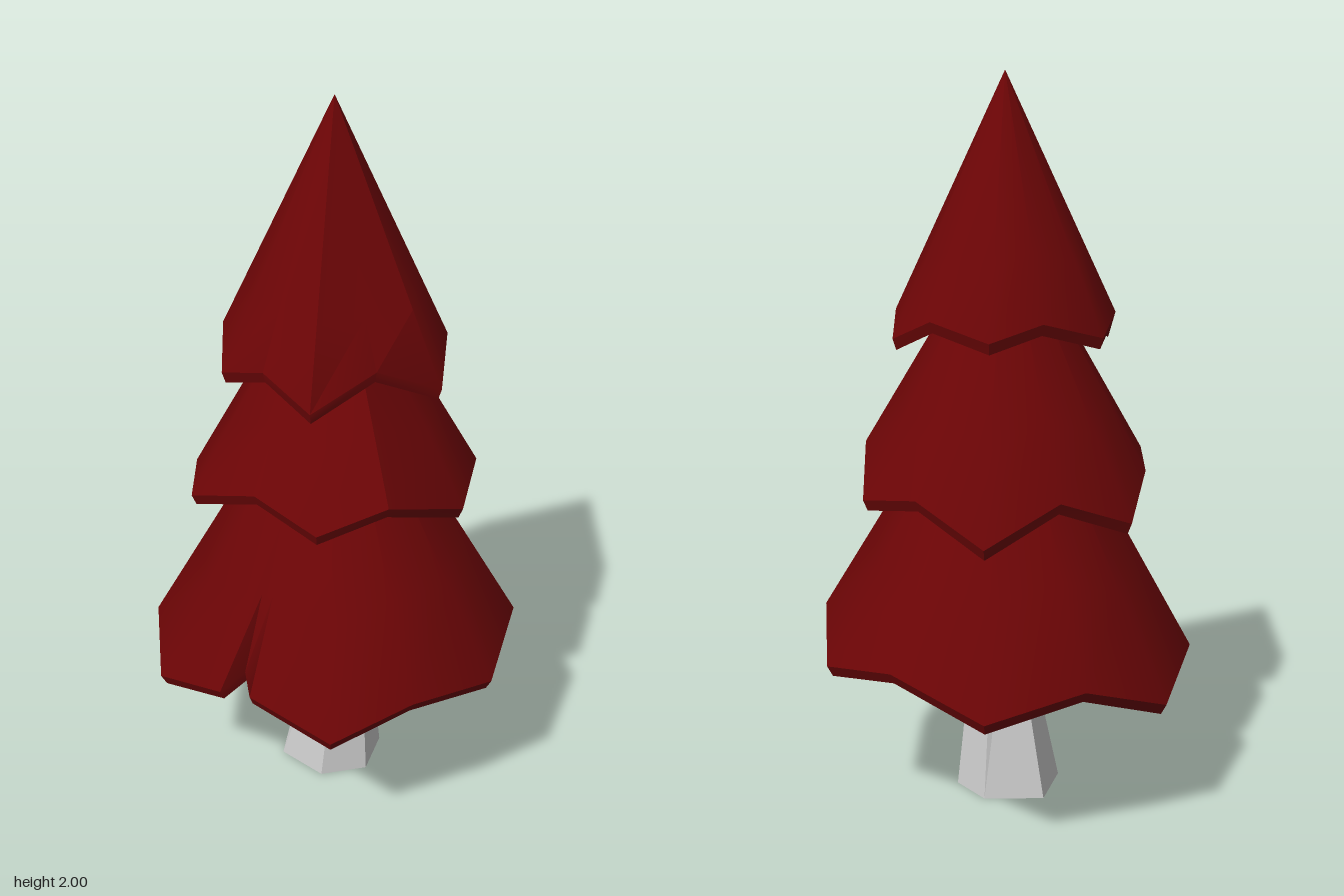
import * as THREE from 'three';
import { toCreasedNormals } from 'three/addons/utils/BufferGeometryUtils.js';

// Joins rings of [x, y, z] points (clockwise seen from above), skipping collapsed triangles.
function loft(rings) {
  const pos = [];
  const same = (p, q) => p.every((v, k) => v === q[k]);
  const tri = (a, b, c) => {
    if (!same(a, b) && !same(b, c) && !same(a, c)) pos.push(...a, ...b, ...c);
  };
  for (let r = 0; r < rings.length - 1; r++) {
    const a = rings[r], b = rings[r + 1];
    for (let i = 0; i < a.length; i++) {
      const j = (i + 1) % a.length;
      tri(a[i], a[j], b[j]);
      tri(a[i], b[j], b[i]);
    }
  }
  const g = new THREE.BufferGeometry();
  g.setAttribute('position', new THREE.Float32BufferAttribute(pos, 3));
  g.computeVertexNormals();
  return g;
}

// Jagged hem of each tier: [x, z, y of the lower edge]; notch is the index of a hem point
// that is tucked inward below an otherwise even slope
const tiers = [
  { name: 'lowerBranches', apex: 1.37, ceiling: 0.55, notch: 8, hem: [
    [-0.08, -0.51, 0.385], [0.18, -0.47, 0.48], [0.41, -0.32, 0.415], [0.505, -0.07, 0.495],
    [0.487, 0.195, 0.43], [0.31, 0.40, 0.475], [0.114, 0.51, 0.39], [-0.12, 0.455, 0.46],
    [-0.158, 0.367, 0.47], [-0.217, 0.41, 0.425], [-0.43, 0.29, 0.35], [-0.51, 0.07, 0.42],
    [-0.49, -0.19, 0.35], [-0.315, -0.39, 0.45]] },
  { name: 'middleBranches', apex: 1.65, ceiling: 1.1, hem: [
    [-0.05, -0.40, 0.81], [0.145, -0.35, 0.91], [0.32, -0.255, 0.87], [0.38, -0.055, 0.975],
    [0.38, 0.144, 0.935], [0.22, 0.325, 1.02], [0.05, 0.397, 0.955], [-0.13, 0.33, 1.01],
    [-0.33, 0.24, 0.93], [-0.38, 0.04, 0.92], [-0.38, -0.15, 0.83], [-0.22, -0.28, 0.91]] },
  { name: 'topBranches', apex: 2, ceiling: 1.45, notch: 5, hem: [
    [-0.04, -0.31, 1.32], [0.125, -0.27, 1.36], [0.25, -0.195, 1.295], [0.29, -0.045, 1.345],
    [0.307, 0.11, 1.26], [0.157, 0.20, 1.335], [0.016, 0.32, 1.26], [-0.12, 0.26, 1.33],
    [-0.25, 0.19, 1.28], [-0.29, 0.04, 1.35], [-0.29, -0.117, 1.31], [-0.16, -0.23, 1.36]] },
];

// Trunk sides: [base x, base z, top x, top z]; the top is turned against the base
const trunkSides = [
  [-0.135, 0.09, -0.01, 0.06], [-0.13, -0.07, -0.015, 0.0], [0.03, -0.115, 0.025, -0.025],
  [0.13, -0.04, 0.075, -0.005], [0.12, 0.1, 0.085, 0.05], [0, 0.16, 0.045, 0.07]];

export function createModel() {
  const group = new THREE.Group();
  const add = (name, geometry, material) => {
    const mesh = new THREE.Mesh(geometry, material);
    mesh.name = name;
    group.add(mesh);
  };

  // Branch tiers: outer slope, thin hem, then a hollow underside
  const foliage = new THREE.MeshStandardMaterial({ color: 0x6c0506 });
  for (const { name, apex, ceiling, notch, hem } of tiers) {
    const rim = hem.map(([x, z, y]) => [x, y + 0.03, z]);
    const slope = rim.map(([x, y, z]) => [x * 0.72, apex + (y - apex) * 0.72, z * 0.72]);
    if (notch) slope[notch] = slope[notch - 1].map((v, k) => (v + slope[notch + 1][k]) / 2);
    const geometry = loft([
      hem.map(() => [0, apex, 0]),
      slope,
      rim,
      hem.map(([x, z, y]) => [x * 0.97, y, z * 0.97]),
      hem.map(() => [0, ceiling, 0]),
    ]);
    add(name, toCreasedNormals(geometry, 0.7), foliage);
  }

  // Tapered trunk, open at the base
  const bark = new THREE.MeshStandardMaterial({
    color: 0xcccccc, flatShading: true, side: THREE.DoubleSide });
  add('trunk', loft([
    trunkSides.map(s => [s[2], 0.6, s[3]]),
    trunkSides.map(s => [s[0], 0, s[1]]),
  ]), bark);

  return group;
}
